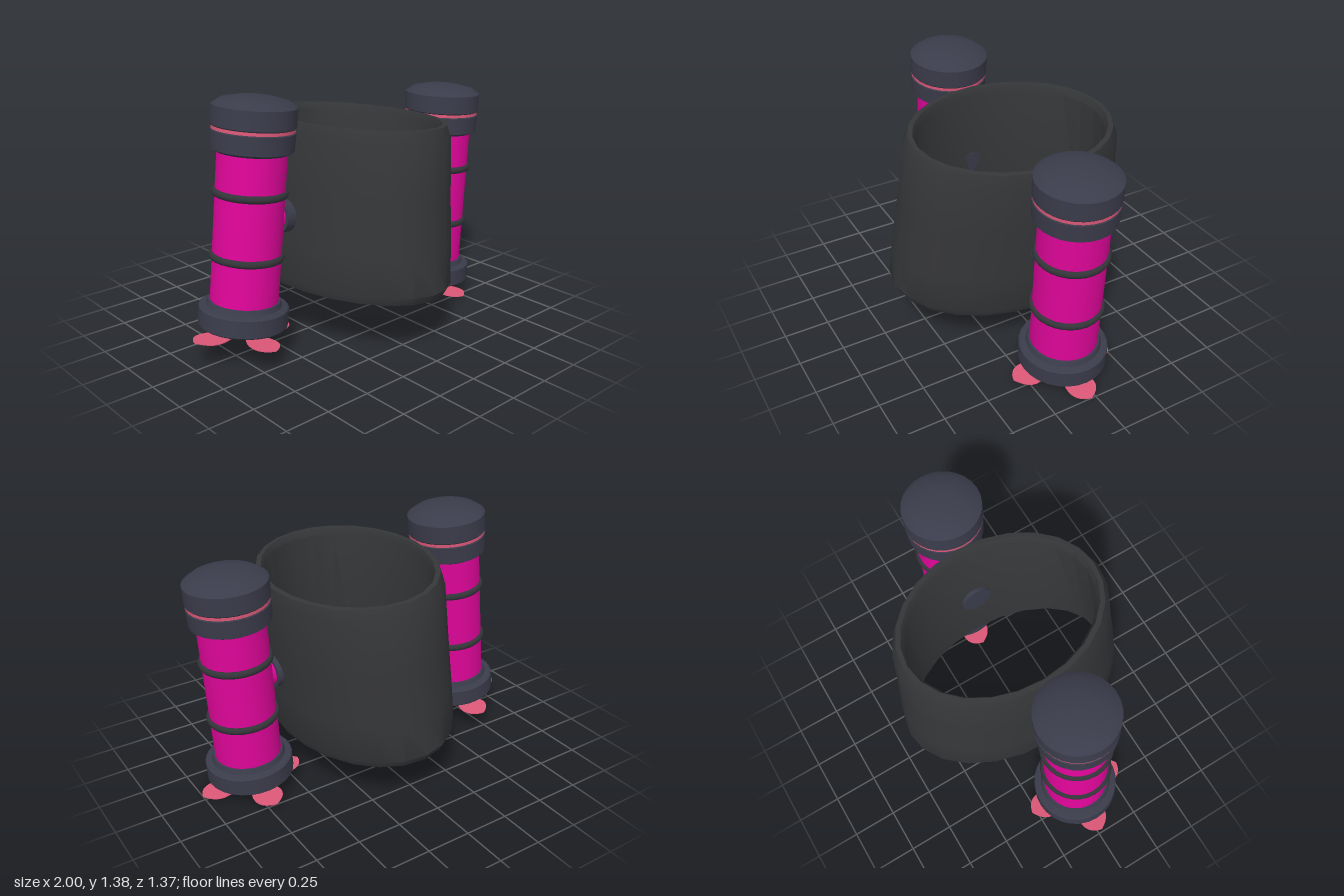
import * as THREE from 'three';
import { toCreasedNormals } from 'three/addons/utils/BufferGeometryUtils.js';

const mat = (color, side = THREE.FrontSide) => new THREE.MeshStandardMaterial({ color, side });
const bodyMat = mat(0x353638);
const darkMat = mat(0x3b3c4b);
const ringMat = mat(0x343539);
const pinkMat = mat(0xe0059a);
const redMat = mat(0xdc5878, THREE.DoubleSide);
const deg = Math.PI / 180;

function add(parent, name, geometry, material, x = 0, y = 0, z = 0) {
  const mesh = new THREE.Mesh(geometry, material);
  mesh.name = name;
  mesh.position.set(x, y, z);
  parent.add(mesh);
  return mesh;
}

const lathe = (pts, segments = 28) => toCreasedNormals(
  new THREE.LatheGeometry(pts.map(([r, y]) => new THREE.Vector2(r, y)), segments), 0.5);

// Open oval sleeve: each profile row is [half width, half depth, height]
function sleeveGeometry() {
  const rows = [
    [0.402, 0.615, 0.01], [0.42, 0.635, -0.008], [0.455, 0.66, -0.008], [0.47, 0.684, 0.035],
    [0.471, 0.662, 0.25], [0.47, 0.628, 0.53], [0.468, 0.599, 0.82], [0.453, 0.568, 0.884],
    [0.425, 0.543, 0.886], [0.408, 0.525, 0.85], [0.402, 0.615, 0.01],
  ];
  const geo = new THREE.LatheGeometry(rows.map(([, d, y]) => new THREE.Vector2(d, y)), 24);
  const pos = geo.attributes.position;
  for (let i = 0; i < pos.count; i++) {
    const [w, d] = rows[i % rows.length];
    pos.setX(i, pos.getX(i) * w / d);
  }
  return toCreasedNormals(geo, 0.6);
}

// Flat petal blade pointing along +x, fuller on its leading side
function bladeGeometry() {
  const s = new THREE.Shape();
  s.moveTo(0.015, -0.014);
  s.bezierCurveTo(0.09, -0.03, 0.13, -0.09, 0.21, -0.086);
  s.bezierCurveTo(0.27, -0.08, 0.29, -0.035, 0.296, 0);
  s.bezierCurveTo(0.28, 0.025, 0.255, 0.074, 0.2, 0.076);
  s.bezierCurveTo(0.13, 0.074, 0.09, 0.03, 0.015, 0.014);
  return new THREE.ExtrudeGeometry(s, { depth: 0.004, bevelEnabled: false, curveSegments: 6 })
    .rotateX(-Math.PI / 2);
}

// Thruster pod standing on its propeller; inward is the x direction of the sleeve
function thruster(name, x, y, z, tilt, inward) {
  const pod = new THREE.Group();
  pod.name = name;
  pod.position.set(x, y, z);
  pod.rotation.z = -tilt * deg;

  add(pod, 'tube', new THREE.CylinderGeometry(0.18, 0.18, 0.85, 28), pinkMat, 0, 0.57);
  for (const h of [0.43, 0.765]) {
    add(pod, 'band', new THREE.TorusGeometry(0.177, 0.021, 8, 28).rotateX(Math.PI / 2), ringMat, 0, h);
  }

  // Lower collar with a recessed underside
  add(pod, 'lowerCollar', lathe([
    [0, 0.11], [0.19, 0.11], [0.2, 0.053], [0.23, 0.053], [0.237, 0.06],
    [0.237, 0.152], [0.23, 0.158], [0.2, 0.164], [0.19, 0.19], [0.17, 0.19],
  ]), darkMat);

  // Cap in two halves with a thin red seam
  add(pod, 'capBase', lathe([
    [0, 0.975], [0.19, 0.975], [0.213, 0.988], [0.217, 1.082], [0.21, 1.09], [0, 1.09],
  ]), darkMat);
  add(pod, 'capSeam', new THREE.CylinderGeometry(0.213, 0.213, 0.02, 28), redMat, 0, 1.097);
  add(pod, 'capTop', lathe([
    [0, 1.104], [0.213, 1.104], [0.218, 1.11], [0.218, 1.208],
    [0.175, 1.238], [0.09, 1.256], [0, 1.26],
  ]), darkMat);

  // Mount joining the pod to the sleeve
  const peg = (r, len) => new THREE.CylinderGeometry(r, r, len, 24).rotateZ(Math.PI / 2);
  add(pod, 'mountCollar', peg(0.07, 0.06), pinkMat, inward * 0.17, 0.615);
  add(pod, 'mountDisc', peg(0.09, 0.115), darkMat, inward * 0.245, 0.615);

  // Propeller
  add(pod, 'propellerShaft', lathe([
    [0, -0.008], [0.034, -0.008], [0.037, 0], [0.037, 0.12],
  ], 16), darkMat);
  const propeller = new THREE.Group();
  propeller.name = 'propeller';
  const blade = bladeGeometry();
  for (let i = 0; i < 4; i++) {
    add(propeller, 'blade', blade, redMat).rotation.y = i * Math.PI / 2;
  }
  pod.add(propeller);
  return pod;
}

export function createModel() {
  const model = new THREE.Group();
  model.name = 'thrusterSleeve';

  const sleeve = add(model, 'sleeve', sleeveGeometry(), bodyMat, 0.03, 0.293, 0);
  sleeve.rotation.set(-1.1 * deg, 0, -4.5 * deg);

  model.add(thruster('rightThruster', -0.705, 0.124, 0.004, 5.9, 1));
  model.add(thruster('leftThruster', 0.706, 0.019, 0.025, 3.5, -1));
  return model;
}
